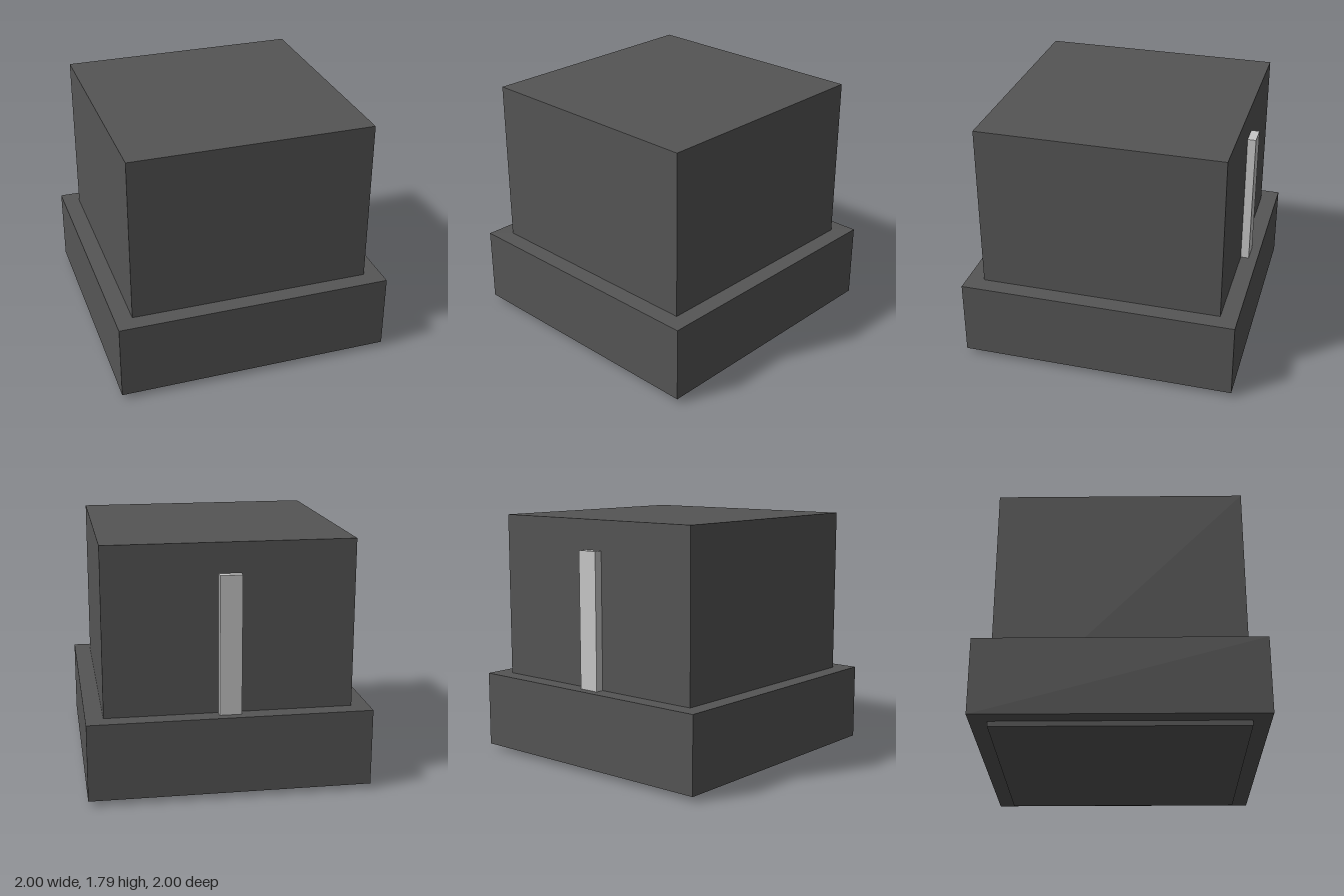
import * as THREE from 'three';

export function createModel() {
  const model = new THREE.Group();
  const charcoal = new THREE.MeshStandardMaterial({ color: 0x555555 });
  charcoal.name = 'charcoal';
  const lightGrey = new THREE.MeshStandardMaterial({ color: 0xc8c8c8 });
  lightGrey.name = 'light grey';

  // Box spanning y0..y1 and z0..z1, centred on x
  function block(name, width, y0, y1, z0, z1, material) {
    const mesh = new THREE.Mesh(new THREE.BoxGeometry(width, y1 - y0, z1 - z0), material);
    mesh.position.set(0, (y0 + y1) / 2, (z0 + z1) / 2);
    mesh.name = name;
    model.add(mesh);
  }

  // Square core, running from the ground to the top
  block('body', 1.75, 0, 1.787, -0.875, 0.875, charcoal);
  // Wide band around the lower part
  block('baseCollar', 2, 0.037, 0.588, -1, 1, charcoal);
  // Upright strip on the back, standing on the collar
  block('backStrip', 0.156, 0.588, 1.573, -0.935, -0.875, lightGrey);

  return model;
}
